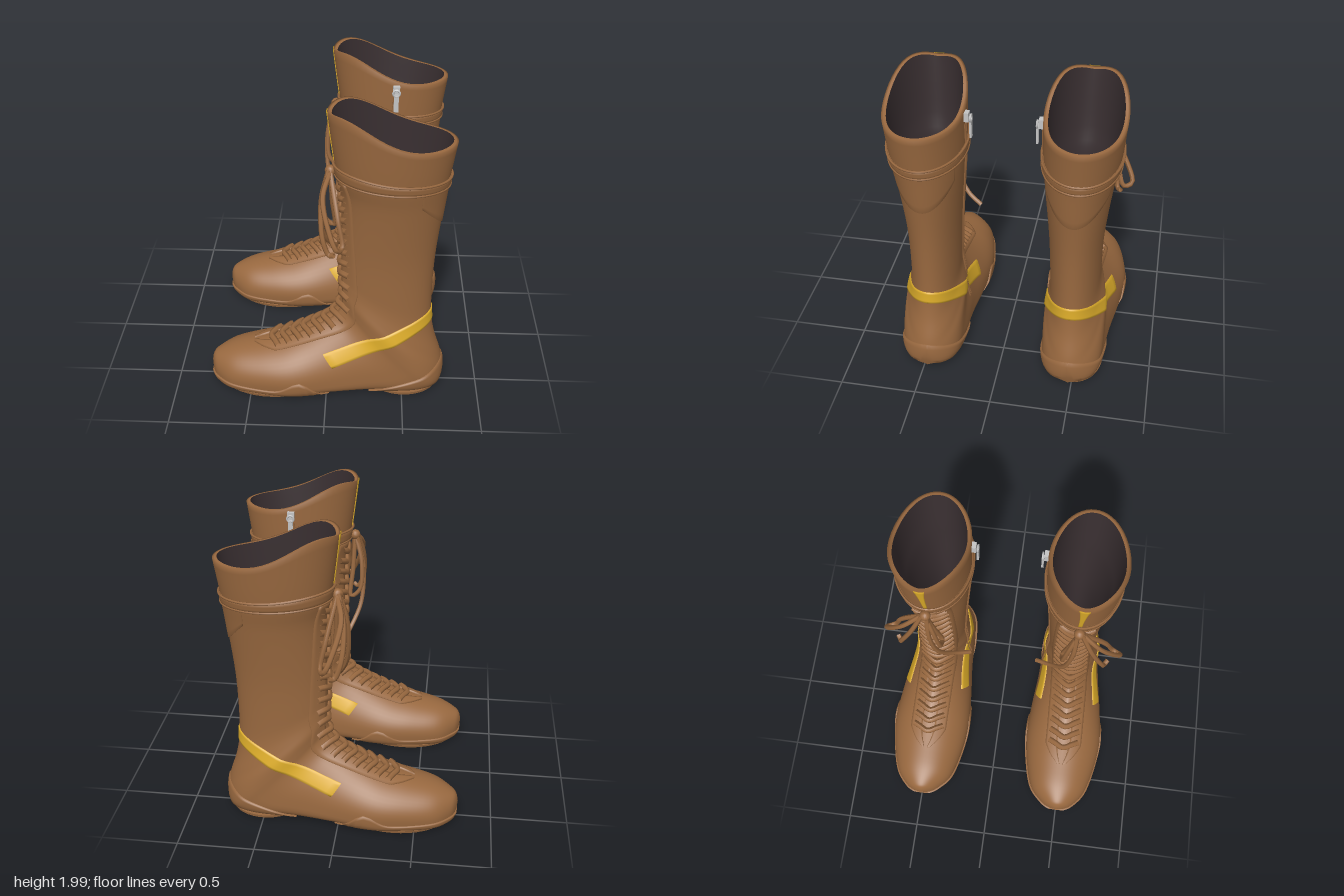
import * as THREE from 'three';

const mat = (name, color) => {
  const m = new THREE.MeshStandardMaterial({ color, side: THREE.DoubleSide });
  m.name = name;
  return m;
};
const { lerp, clamp, smoothstep } = THREE.MathUtils;

// Boot rings from toe tip to rim: front/top point x,y, back/bottom point x,y, half width, sideways shift
const RINGS = [
  [-.777, .115, -.777, .115, 0, 0], [-.765, .17, -.76, .05, .055, 0], [-.73, .205, -.72, .022, .115, 0],
  [-.62, .255, -.62, .008, .197, -.005], [-.45, .30, -.42, .004, .25, -.005], [-.30, .345, -.2, .004, .274, -.005],
  [-.15, .415, .05, .016, .257, -.01], [0, .505, .3, .014, .228, -.016], [.05, .56, .5, .004, .215, -.022],
  [.08, .62, .66, .004, .206, -.024], [.09, .66, .745, .03, .204, -.024], [.095, .70, .768, .12, .199, -.027],
  [.095, .75, .755, .22, .182, -.03], [.09, .80, .70, .40, .165, -.033], [.09, .86, .675, .6, .164, -.037],
  [.09, 1.05, .68, .98, .175, -.04], [.09, 1.4, .715, 1.36, .21, -.035], [.05, 1.6, .735, 1.55, .235, -.025],
  [0, 1.97, .77, 1.8, .25, -.015],
];
const TOP = RINGS.length - 1;

// Smoothly interpolated ring, grown outward by d
function ring(s, d = 0) {
  const i = Math.min(Math.floor(s), TOP - 1), t = s - i;
  const row = k => RINGS[clamp(k, 0, TOP)];
  const [fx, fy, bx, by, w, cz] = RINGS[0].map((_, c) => {
    const [p, a, b, n] = [row(i - 1)[c], row(i)[c], row(i + 1)[c], row(i + 2)[c]];
    return a + .5 * t * (b - p + t * (2 * p - 5 * a + 4 * b - n + t * (3 * (a - b) + n - p)));
  });
  const len = Math.hypot(bx - fx, by - fy) || 1;
  const ux = (bx - fx) / len * d, uy = (by - fy) / len * d;
  const k = smoothstep(s, 8, 12), nose = d * Math.max(0, 1 - s / 4);
  return {
    fx: fx - ux - nose, fy: fy - uy, bx: bx + ux - nose, by: by + uy, cz, w: Math.max(0, w + d),
    m: lerp(.68, .5, k), e: lerp(.5, 1, k), // widest place and squareness of the lower half
    eu: 1 + .3 * smoothstep(s, 3, 6) * (1 - k), // slimness of the instep
  };
}

// Point on the boot at ring s and angle t (0 = front ridge, +z side first)
function skin(s, t, d = 0) {
  const r = ring(s, d), c = Math.cos(t), n = Math.sin(t);
  const f = c > 0 ? r.m * (1 - c) : r.m + (1 - r.m) * Math.pow(-c, r.e);
  const rim = .04 * Math.sin(2 * Math.PI * Math.pow(clamp(f, 0, 1), .7)) * clamp(s - (TOP - 1), 0, 1);
  return new THREE.Vector3(lerp(r.fx, r.bx, f), Math.max(0, lerp(r.fy, r.by, f) + rim),
    r.cz + Math.sign(n) * r.w * Math.pow(Math.abs(n), c > 0 ? r.eu : r.e));
}

// Point on the boot side seen at x, y
function sidePoint(x, y, side, d) {
  let lo = 0, hi = TOP;
  for (let i = 0; i < 30; i++) {
    const s = (lo + hi) / 2, r = ring(s, d);
    if ((r.bx - r.fx) * (y - r.fy) - (r.by - r.fy) * (x - r.fx) > 0) lo = s; else hi = s;
  }
  const r = ring(lo, d), dx = r.bx - r.fx, dy = r.by - r.fy;
  const f = clamp(((x - r.fx) * dx + (y - r.fy) * dy) / (dx * dx + dy * dy || 1), 0, 1);
  const upper = f < r.m;
  const c = upper ? 1 - f / r.m : Math.pow((f - r.m) / (1 - r.m), 1 / r.e);
  return new THREE.Vector3(x, y,
    r.cz + side * r.w * Math.pow(Math.max(0, 1 - c * c), (upper ? r.eu : r.e) / 2));
}

// Grid surface from fn(i, j); closed joins the last column to the first
function grid(nu, nv, fn, closed = false) {
  const pos = [], idx = [], cols = closed ? nu : nu + 1;
  for (let j = 0; j <= nv; j++) for (let i = 0; i < cols; i++) pos.push(...fn(i, j).toArray());
  for (let j = 0; j < nv; j++) for (let i = 0; i < nu; i++) {
    const a = j * cols + i, b = j * cols + (i + 1) % cols;
    idx.push(a, b, a + cols, b, b + cols, a + cols);
  }
  const g = new THREE.BufferGeometry();
  g.setAttribute('position', new THREE.Float32BufferAttribute(pos, 3));
  g.setIndex(idx);
  g.computeVertexNormals();
  return g;
}

// Raised patch: its outermost rows and columns sink into the boot
const step = (i, n) => clamp((i - 1) / (n - 2), 0, 1);
const patch = (nu, nv, d, fn) => grid(nu, nv, (i, j) =>
  fn(step(i, nu), step(j, nv), i === 0 || j === 0 || i === nu || j === nv ? -.004 : d));

// Patch wrapped round the toe (dir 1) or the heel (dir -1)
function edgeX(y, dir, d) {
  let [lo, hi] = dir > 0 ? [3, 0] : [10, TOP];
  for (let i = 0; i < 30; i++) {
    const s = (lo + hi) / 2;
    if (ring(s).by < y) lo = s; else hi = s;
  }
  return ring(lo, d).bx;
}
const wrap = (dir, d, endX, low, high) => patch(64, 8, d, (a, v, h) => {
  const u = a * 2 - 1, y = lerp(low(u * u), high(u * u), v);
  return sidePoint(lerp(edgeX(y, dir, h), endX(v), u * u), y, dir * Math.sign(u), h);
});

const tube = (pts, r, n = 40) => new THREE.TubeGeometry(
  new THREE.CatmullRomCurve3(pts.map(p => p.isVector3 ? p : new THREE.Vector3(...p))), n, r, 6);

function makeBoot(M) {
  const boot = new THREE.Group();
  const add = (name, geo, m) => {
    const mesh = new THREE.Mesh(geo, m);
    mesh.name = name;
    boot.add(mesh);
  };
  const SEG = 56, ang = i => i / SEG * Math.PI * 2;

  // Upper with rolled rim, then the dark lining and its floor
  const rows = TOP * 5;
  add('upper', grid(SEG, rows + 2, (i, j) =>
    skin(Math.min(j / 5, TOP), ang(i), -.014 * Math.max(0, j - rows)), true), M.leather);
  add('lining', grid(SEG, 33, (i, j) => j < 33
    ? skin(TOP - 8 * j / 32, ang(i), -.028) : new THREE.Vector3(.42, .3, -.02), true), M.lining);

  // Sole pads and raised rubber edges
  [['frontSole', -.36, .37, .25], ['heelSole', .505, .235, .19]].forEach(([n, x, rx, rz]) =>
    add(n, new THREE.CylinderGeometry(1, .98, .02, 40).scale(rx, 1, rz).translate(x, .01, -.008), M.leather));
  add('toeGuard', wrap(1, .01, () => .02, () => .01, q =>
    Math.max(.025, .065 * (1 - q ** 6) + .09 * Math.exp(-(((q - .76) / .13) ** 2)))), M.leather);
  add('heelGuard', wrap(-1, .012, () => .28, () => .01, q => .2 - .175 * Math.pow(q, .8)), M.leather);

  // Yellow ankle stripe and tongue edge, rear yoke and collar band
  add('ankleStripe', wrap(-1, .008, v => lerp(.04, -.02, v),
    q => lerp(.505, .245, q), q => lerp(.588, .325, q)), M.yellow);
  add('tongueStripe', patch(8, 10, .005, (u, v, d) =>
    skin(lerp(17.15, TOP, v), (u - .5) * lerp(.1, .26, v * v), d)), M.yellow);
  add('rearYoke', wrap(-1, .006, () => .57, q => lerp(1.25, 1.42, q), () => 1.55), M.leather);
  add('collarBand', grid(SEG, 5, (i, j) =>
    skin(16.85 + .27 * step(j, 5), ang(i), j === 0 || j === 5 ? -.004 : .012), true), M.leather);
  [16.85, 17.12].forEach(s => add('collarPiping', tube(
    Array.from({ length: 41 }, (_, i) => skin(s, i / 40 * Math.PI * 2, .01)), .008, 100), M.leather));

  // Lacing facings either side of the tongue, rounded together at the toe end
  const angleAt = (s, z) => Math.asin(Math.sign(z) * Math.pow(Math.min(1, Math.abs(z) / ring(s).w), 1 / ring(s).eu));
  [[-.125, -.045], [.045, .125]].forEach(([a, b]) => add('laceFacing', patch(8, 90, .011, (u, v, d) => {
    const s = lerp(3.8, 16.8, v), round = Math.sqrt(clamp(v / .07, .05, 1));
    return skin(s, angleAt(s, lerp(a, b, u) * round), d);
  }), M.leather));

  // Evenly spaced chevron laces along the front ridge
  const stops = [];
  let length = 0, last = ring(4.4);
  for (let s = 4.4; s < 16.6; s += .01) {
    const r = ring(s);
    length += Math.hypot(r.fx - last.fx, r.fy - last.fy);
    last = r;
    stops.push([length, s]);
  }
  const atLength = l => (stops.find(p => p[0] >= l) || stops[stops.length - 1])[1];
  const COUNT = 19;
  for (let k = 0; k < COUNT; k++) {
    const base = lerp(.02, length - .06, k / (COUNT - 1));
    add('lace', tube([-.1, -.06, 0, .06, .1].map(z => {
      const s = atLength(base + Math.abs(z) * .5);
      return skin(s, angleAt(s, z), .012);
    }), .021, 14), M.leather);
  }

  // Bow: knot, loops and loose ends
  add('bowKnot', new THREE.SphereGeometry(.035, 12, 8).translate(.02, 1.58, -.02), M.leather);
  [
    [[.02, 1.58, 0], [-.02, 1.47, .12], [.02, 1.3, .23], [.07, 1.19, .27], [.1, 1.18, .22], [.07, 1.35, .16], [.02, 1.58, 0]],
    [[.02, 1.58, -.02], [-.03, 1.4, -.07], [-.02, 1.2, -.1], [.04, 1.15, -.1], [.03, 1.35, -.06], [.02, 1.58, -.02]],
    [[.01, 1.59, 0], [-.03, 1.4, .08], [-.02, 1.2, .16], [.02, 1.1, .18], [.05, 1.11, .2]],
    [[.01, 1.59, -.03], [-.04, 1.35, -.04], [-.03, 1.1, -.09], [.03, .95, -.18], [.07, .89, -.27]],
  ].forEach(p => add('bowLace', tube(p, .016), M.leather));

  // Inner zip seam with metal pull
  [-.012, .012].forEach(o => add('zipSeam', tube(Array.from({ length: 12 }, (_, i) =>
    sidePoint(lerp(.3, .42, i / 11) + o, lerp(.28, 1.74, i / 11), -1, .003)), .007), M.leather));
  add('zipSlider', new THREE.BoxGeometry(.045, .06, .03).translate(.42, 1.79, -.275), M.metal);
  add('zipPull', new THREE.BoxGeometry(.032, .12, .014).translate(.42, 1.71, -.298), M.metal);
  add('zipRing', new THREE.TorusGeometry(.022, .007, 6, 14).translate(.42, 1.78, -.3), M.metal);
  return boot;
}

// Mirror every part across the middle plane
function mirrored(boot) {
  const copy = boot.clone();
  copy.children.forEach(mesh => {
    const g = mesh.geometry = mesh.geometry.clone().scale(1, 1, -1);
    const a = g.index.array;
    for (let i = 0; i < a.length; i += 3) [a[i], a[i + 1]] = [a[i + 1], a[i]];
    g.computeVertexNormals();
  });
  return copy;
}

export function createModel() {
  const M = {
    leather: mat('brown leather', 0x98683f), lining: mat('dark lining', 0x382e30),
    yellow: mat('yellow trim', 0xdcac2a), metal: mat('zip metal', 0xc4c4c4),
  };
  const model = new THREE.Group(), first = makeBoot(M), second = mirrored(first);
  first.name = 'frontBoot';
  second.name = 'backBoot';
  first.position.z = .5;
  second.position.z = -.5;
  model.add(first, second);
  return model;
}
